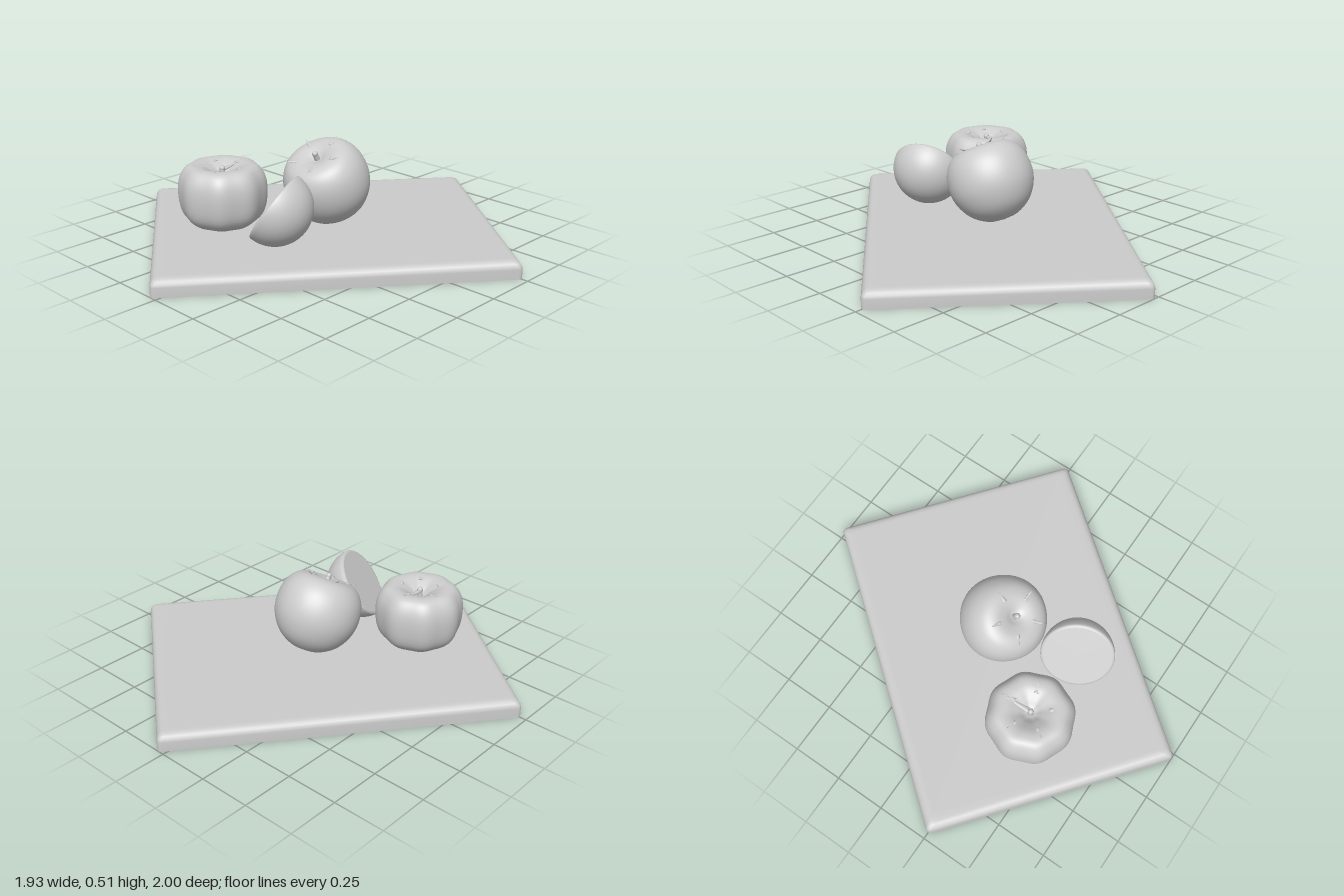
import * as THREE from 'three';
import { mergeVertices } from 'three/addons/utils/BufferGeometryUtils.js';

const material = new THREE.MeshStandardMaterial({ color: 0xcccccc, roughness: 0.7 });

function addMesh(parent, geometry, name) {
  const mesh = new THREE.Mesh(geometry, material);
  mesh.name = name;
  parent.add(mesh);
  return mesh;
}

// Weld a geometry and give it seamless smooth normals
function smooth(geometry) {
  geometry.deleteAttribute('uv');
  geometry.deleteAttribute('normal');
  const welded = mergeVertices(geometry, 1e-5);
  welded.computeVertexNormals();
  return welded;
}

// Smooth profile [radius, height] from the bottom up
function splineProfile(points, divisions) {
  const curve = new THREE.CatmullRomCurve3(points.map(([r, y]) => new THREE.Vector3(r, y, 0)));
  return curve.getPoints(divisions).map((p) => new THREE.Vector2(Math.max(p.x, 0), p.y));
}

// Rounded rectangle outline, counter-clockwise in x and -z
function roundedOutline(hx, hz, r) {
  const points = [];
  [[1, 1], [-1, 1], [-1, -1], [1, -1]].forEach(([sx, sy], corner) => {
    for (let i = 0; i <= 6; i++) {
      const a = (corner + i / 6) * Math.PI / 2;
      points.push(new THREE.Vector2(sx * (hx - r) + r * Math.cos(a), sy * (hz - r) + r * Math.sin(a)));
    }
  });
  return points;
}

// Board with a sharp foot and softly rounded upper edge
function createBoard() {
  const board = new THREE.Group();
  board.name = 'cuttingBoard';
  const rings = [[0, 0], [0, 0.045], [0.003, 0.058], [0.01, 0.069], [0.021, 0.077], [0.035, 0.08], [0.05, 0.08]];
  const outline = (inset) => roundedOutline(0.605 - inset, 0.805 - inset, 0.02);
  const positions = [];
  const indices = [];
  const n = outline(0).length;
  rings.forEach(([inset, y], k) => {
    outline(inset).forEach((p, i) => {
      positions.push(p.x, y, -p.y);
      if (k === 0) return;
      const a = (k - 1) * n + i;
      const b = (k - 1) * n + (i + 1) % n;
      indices.push(a, b, b + n, a, b + n, a + n);
    });
  });
  const edge = new THREE.BufferGeometry();
  edge.setAttribute('position', new THREE.Float32BufferAttribute(positions, 3));
  edge.setIndex(indices);
  edge.computeVertexNormals();
  addMesh(board, edge, 'boardEdge');
  const top = new THREE.ShapeGeometry(new THREE.Shape(outline(0.05)));
  addMesh(board, top.rotateX(-Math.PI / 2).translate(0, 0.08, 0), 'boardTop');
  const bottom = new THREE.ShapeGeometry(new THREE.Shape(outline(0)));
  addMesh(board, bottom.rotateX(Math.PI / 2), 'boardBottom');
  board.rotation.y = -0.672;
  return board;
}

// Slim pointed leaf lying outwards along +z, its tip curling up
function sepalGeometry(length, width, curl) {
  const g = new THREE.ConeGeometry(width, length, 8, 8);
  g.scale(1, 1, 0.5).translate(0, length / 2, 0).rotateX(Math.PI / 2);
  const p = g.attributes.position;
  for (let i = 0; i < p.count; i++) {
    const t = p.getZ(i) / length;
    p.setY(i, p.getY(i) + curl * t * t);
  }
  return smooth(g);
}

// Whole fruit: lobed lathe body, five sepals and a stem
function createFruit({ name, profile, lobes, depth, dimple, rim, twist }) {
  const fruit = new THREE.Group();
  fruit.name = name;
  const body = new THREE.LatheGeometry(splineProfile(profile, 48), 96);
  const p = body.attributes.position;
  for (let i = 0; i < p.count; i++) {
    const x = p.getX(i), z = p.getZ(i);
    const k = 1 + depth * Math.cos(lobes * Math.atan2(x, z));
    p.setX(i, x * k);
    p.setZ(i, z * k);
  }
  addMesh(fruit, smooth(body), 'fruitBody');

  for (let i = 0; i < 5; i++) {
    const sepal = addMesh(fruit, sepalGeometry(0.055, 0.011, 0.016), 'sepal');
    const angle = Math.PI + twist + i * Math.PI * 2 / 5;
    sepal.position.set(Math.sin(angle) * 0.085, rim, Math.cos(angle) * 0.085);
    sepal.rotation.y = angle;
  }
  const stem = addMesh(fruit, new THREE.CylinderGeometry(0.012, 0.015, 0.05, 12), 'stem');
  stem.position.y = dimple + 0.01;
  const knob = addMesh(fruit, new THREE.SphereGeometry(0.014, 12, 8), 'stemTip');
  knob.position.y = dimple + 0.035;
  return fruit;
}

// Half fruit, its cut face towards local +y
function createHalf(radius) {
  const half = new THREE.Group();
  half.name = 'halfFruit';
  const points = [];
  for (let i = 0; i <= 24; i++) {
    const a = -Math.PI / 2 + i / 24 * Math.PI / 2;
    points.push(new THREE.Vector2(Math.max(radius * Math.cos(a), 0), radius * Math.sin(a)));
  }
  points[0].x = 0;
  points.push(new THREE.Vector2(radius - 0.003, 0.007), new THREE.Vector2(radius - 0.012, 0.01));
  addMesh(half, smooth(new THREE.LatheGeometry(points, 64)), 'halfSkin');
  const face = new THREE.CircleGeometry(radius - 0.012, 64);
  addMesh(half, face.rotateX(-Math.PI / 2).translate(0, 0.01, 0), 'cutFace');
  return half;
}

export function createModel() {
  const model = new THREE.Group();
  model.name = 'fruitBoard';
  model.add(createBoard());

  // Squat, ribbed fruit standing upright
  const squat = createFruit({
    name: 'squatFruit',
    profile: [[0, -0.145], [0.06, -0.153], [0.13, -0.145], [0.185, -0.095], [0.205, 0], [0.195, 0.085],
      [0.16, 0.133], [0.11, 0.138], [0.06, 0.115], [0.025, 0.09], [0, 0.085]],
    lobes: 8, depth: 0.022, dimple: 0.085, rim: 0.131, twist: 0,
  });
  squat.position.set(-0.3, 0.243, 0.365);
  const curl = addMesh(squat, sepalGeometry(0.14, 0.014, 0.04), 'curledLeaf');
  curl.position.set(0, 0.115, -0.01);
  curl.rotation.y = Math.PI + 0.08;
  model.add(squat);

  // Rounder fruit leaning forwards
  const round = createFruit({
    name: 'roundFruit',
    profile: [[0, -0.197], [0.07, -0.187], [0.145, -0.14], [0.192, -0.065], [0.205, 0.01], [0.19, 0.09],
      [0.15, 0.145], [0.1, 0.163], [0.05, 0.155], [0.02, 0.142], [0, 0.138]],
    lobes: 4, depth: 0.006, dimple: 0.138, rim: 0.162, twist: -0.2,
  });
  round.position.set(0.02, 0.285, -0.008);
  round.rotation.x = 0.49;
  model.add(round);

  // Half fruit resting on its skin, cut face turned up and to the right
  const half = createHalf(0.175);
  half.position.set(0.073, 0.268, 0.38);
  half.quaternion.setFromUnitVectors(new THREE.Vector3(0, 1, 0), new THREE.Vector3(-0.74, 0.56, 0.36).normalize());
  model.add(half);
  return model;
}
